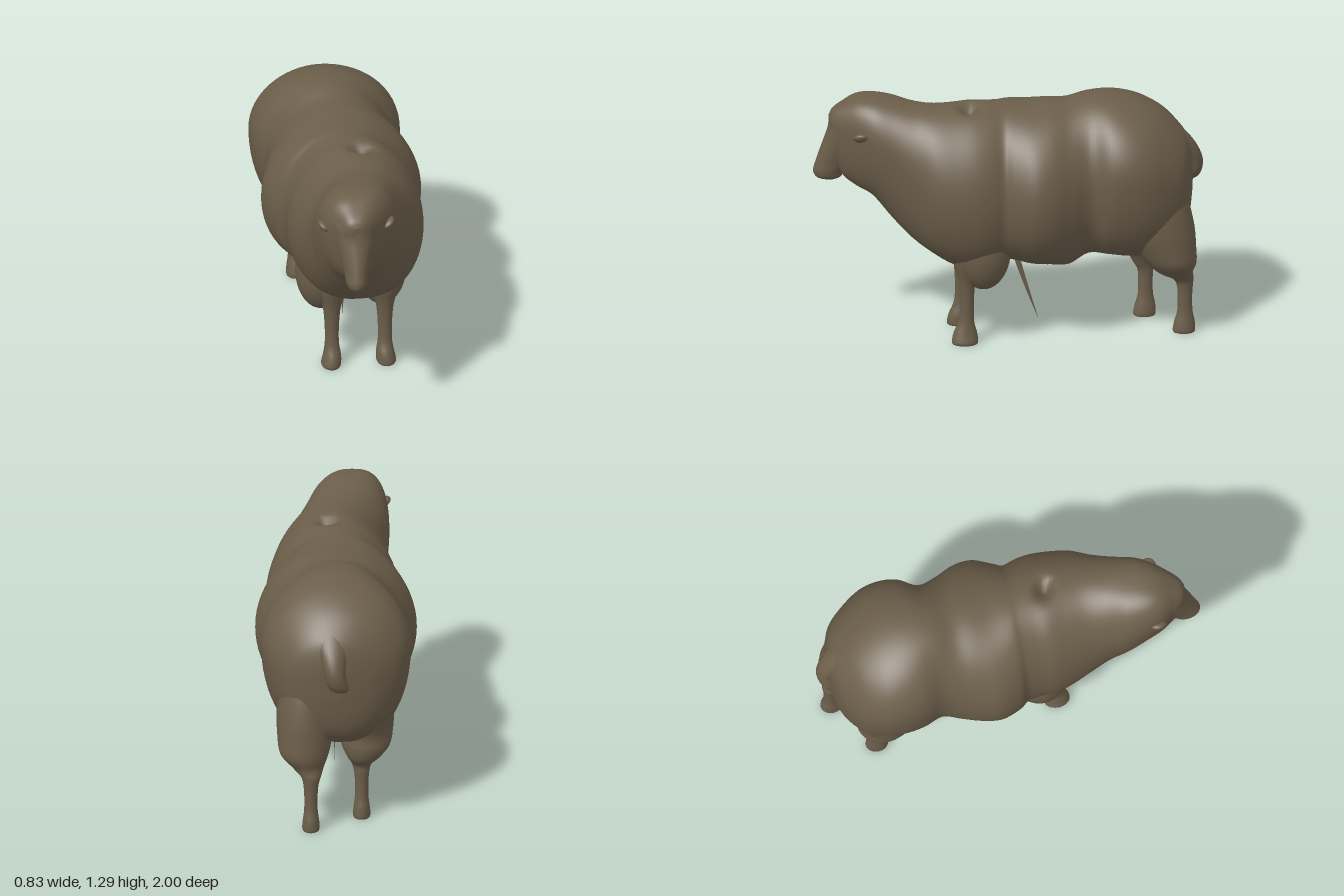
import * as THREE from 'three';

const wool = new THREE.MeshStandardMaterial({ color: 0x6b5e4a });
wool.name = 'brown wool';

// Catmull-Rom subdivision of rows of numbers
function refine(rows, steps) {
  const out = [];
  const at = (i) => rows[Math.min(Math.max(i, 0), rows.length - 1)];
  for (let i = 0; i < rows.length - 1; i++) {
    for (let s = 0; s < steps; s++) {
      const t = s / steps;
      out.push(at(i).map((b, k) => {
        const a = at(i - 1)[k], c = at(i + 1)[k], d = at(i + 2)[k];
        return b + 0.5 * t * (c - a + t * (2 * a - 5 * b + 4 * c - d + t * (3 * (b - c) + d - a)));
      }));
    }
  }
  out.push(rows[rows.length - 1]);
  return out;
}

// Skin a list of rings, closing both ends
function skin(rings) {
  const n = rings[0].length, pos = [], index = [];
  rings.forEach((ring) => ring.forEach((p) => pos.push(...p)));
  for (let i = 0; i < rings.length - 1; i++) {
    for (let j = 0; j < n; j++) {
      const a = i * n + j, b = i * n + (j + 1) % n;
      index.push(a, b, a + n, b, b + n, a + n);
    }
  }
  [0, rings.length - 1].forEach((r, end) => {
    const centre = pos.length / 3;
    pos.push(...[0, 1, 2].map((k) => rings[r].reduce((s, p) => s + p[k], 0) / n));
    for (let j = 0; j < n; j++) {
      const a = r * n + j, b = r * n + (j + 1) % n;
      index.push(centre, end ? a : b, end ? b : a);
    }
  });
  const g = new THREE.BufferGeometry();
  g.setAttribute('position', new THREE.Float32BufferAttribute(pos, 3));
  g.setIndex(index);
  g.computeVertexNormals();
  return g;
}

const around = (n, f) => Array.from({ length: n }, (_, j) => f(Math.PI * 2 * j / n));

// Limb from rows going down: [y, centre x, centre z, radius x, radius z]
function limb(rows) {
  return skin(refine(rows, 5).map(([y, cx, cz, rx, rz]) =>
    around(28, (a) => [cx + rx * Math.cos(a), y, cz + rz * Math.sin(a)])));
}

// Body from rows going forward: [z, top, bottom, min x, max x, height of widest point]
function bodyGeometry() {
  const rows = [
    [-0.94, 0.95, 0.74, -0.06, 0.06, 0.86],
    [-0.92, 1.03, 0.6, -0.15, 0.14, 0.85],
    [-0.88, 1.09, 0.51, -0.245, 0.225, 0.84],
    [-0.8, 1.17, 0.45, -0.34, 0.295, 0.86],
    [-0.7, 1.23, 0.42, -0.39, 0.35, 0.9],
    [-0.6, 1.265, 0.42, -0.4, 0.37, 0.91],
    [-0.5, 1.28, 0.43, -0.385, 0.36, 0.9],
    [-0.4, 1.275, 0.43, -0.345, 0.31, 0.87],
    [-0.3, 1.25, 0.38, -0.365, 0.35, 0.82],
    [-0.2, 1.25, 0.39, -0.4, 0.4, 0.8],
    [-0.1, 1.245, 0.4, -0.415, 0.41, 0.8],
    [0, 1.25, 0.42, -0.38, 0.365, 0.8],
    [0.05, 1.25, 0.4, -0.34, 0.34, 0.8],
    [0.12, 1.255, 0.38, -0.325, 0.36, 0.8],
    [0.2, 1.26, 0.38, -0.325, 0.37, 0.8],
    [0.3, 1.255, 0.41, -0.3, 0.36, 0.81],
    [0.4, 1.255, 0.47, -0.27, 0.33, 0.85],
    [0.5, 1.265, 0.54, -0.25, 0.26, 0.93],
    [0.6, 1.285, 0.64, -0.255, 0.2, 1.02],
    [0.7, 1.295, 0.76, -0.245, 0.155, 1.08],
    [0.78, 1.285, 0.805, -0.22, 0.1, 1.12],
    [0.85, 1.25, 0.86, -0.175, 0.04, 1.13],
    [0.9, 1.215, 0.96, -0.14, -0.01, 1.14],
    [0.92, 1.18, 1.08, -0.1, -0.05, 1.15],
  ];
  const g = skin(refine(rows, 5).map(([z, top, low, x0, x1, mid]) => around(64, (a) => {
    const c = Math.cos(a), s = Math.sin(a);
    // Squarer belly, and a squarer crown towards the head
    const crown = 1 - 0.3 * THREE.MathUtils.smoothstep(z, 0.4, 0.75);
    const belly = 0.7 + 0.12 * THREE.MathUtils.smoothstep(z, -0.6, -0.3);
    const x = Math.sign(c) * Math.abs(c) ** (s < 0 ? belly : crown);
    return [(x0 + x1) / 2 + x * (x1 - x0) / 2, mid + s * (s > 0 ? top - mid : mid - low), z];
  })));
  // Small pit in the wool of the back
  const p = g.attributes.position;
  for (let i = 0; i < p.count; i++) {
    if (p.getY(i) < 1) continue;
    const r = Math.hypot(p.getX(i) - 0.05, p.getZ(i) - 0.21);
    p.setY(i, p.getY(i) - 0.07 * Math.exp(-((r / 0.045) ** 2)));
  }
  g.computeVertexNormals();
  return g;
}

export function createModel() {
  const group = new THREE.Group();
  const add = (name, geometry) => {
    const m = new THREE.Mesh(geometry, wool);
    m.name = name;
    group.add(m);
    return m;
  };
  const blob = (name, place, size) => {
    const m = add(name, new THREE.SphereGeometry(1, 28, 20));
    m.position.set(...place);
    m.scale.set(...size);
    return m;
  };

  add('body', bodyGeometry());

  // Long face sloping down to the nose
  add('muzzle', limb([
    [1.23, -0.075, 0.78, 0.09, 0.08],
    [1.17, -0.075, 0.785, 0.115, 0.128],
    [1.1, -0.075, 0.79, 0.113, 0.14],
    [1.0, -0.08, 0.83, 0.085, 0.135],
    [0.93, -0.083, 0.885, 0.063, 0.103],
    [0.88, -0.085, 0.92, 0.055, 0.08],
    [0.845, -0.085, 0.92, 0.043, 0.065],
    [0.828, -0.085, 0.915, 0.015, 0.025],
  ]));

  // Small ears tucked against the head
  [['leftEar', 0.1, 0.765, 1], ['rightEar', -0.22, 0.75, -1]].forEach(([name, x, z, side]) => {
    blob(name, [x, 1.115, z], [0.042, 0.022, 0.045]).rotation.z = 0.6 * side;
  });

  // Front legs under broad woolly shoulders that hang below the chest
  [['leftFront', 0.17, 0.165], ['rightFront', -0.105, -0.15]].forEach(([name, x, sx]) => {
    const out = Math.sign(x) * 0.01;
    add(name + 'Leg', limb([
      [0.5, x, 0.2, 0.1, 0.11],
      [0.42, x, 0.215, 0.075, 0.08],
      [0.36, x, 0.23, 0.053, 0.05],
      [0.3, x, 0.232, 0.042, 0.04],
      [0.2, x, 0.232, 0.036, 0.036],
      [0.12, x, 0.235, 0.037, 0.04],
      [0.06, x, 0.24, 0.046, 0.06],
      [0.015, x + out / 2, 0.242, 0.051, 0.068],
      [0, x + out / 2, 0.242, 0.047, 0.064],
    ]));
    blob(name + 'Shoulder', [sx, 0.51, 0.145], [0.13, 0.215, 0.14]);
  });

  // Hind legs with heavy thighs, the left one standing further back:
  // foot x, foot z, thigh x, thigh z
  [
    ['leftHind', 0.105, -0.895, 0.14, -0.755],
    ['rightHind', -0.15, -0.715, -0.17, -0.67],
  ].forEach(([name, x, z, tx, tz]) => {
    const mz = (z + tz) / 2;
    add(name + 'Leg', limb([
      [0.9, tx, tz + 0.05, 0.1, 0.14],
      [0.75, tx, tz + 0.02, 0.13, 0.17],
      [0.6, tx, tz, 0.145, 0.185],
      [0.48, tx, mz + 0.03, 0.14, 0.155],
      [0.4, tx, mz, 0.125, 0.127],
      [0.34, (tx + x) / 2, mz - 0.02, 0.085, 0.09],
      [0.295, x, z + 0.01, 0.052, 0.055],
      [0.25, x, z, 0.039, 0.041],
      [0.18, x, z, 0.034, 0.037],
      [0.11, x, z, 0.035, 0.04],
      [0.06, x, z + 0.002, 0.041, 0.052],
      [0.015, x, z + 0.005, 0.045, 0.058],
      [0, x, z + 0.005, 0.042, 0.054],
    ]));
  });

  // Short tail growing out of the rump and curling to one side
  add('tail', limb([
    [1.12, 0, -0.79, 0.08, 0.06],
    [1.04, -0.002, -0.85, 0.085, 0.075],
    [0.97, -0.01, -0.9, 0.07, 0.073],
    [0.9, -0.018, -0.94, 0.055, 0.058],
    [0.84, -0.03, -0.945, 0.055, 0.05],
    [0.8, -0.045, -0.94, 0.045, 0.035],
    [0.785, -0.05, -0.935, 0.015, 0.012],
  ]));

  // Thin spike hanging from the belly
  add('bellySpike', limb([
    [0.46, 0.005, -0.02, 0.006, 0.018],
    [0.25, 0.006, -0.085, 0.004, 0.01],
    [0.065, 0.007, -0.148, 0.001, 0.001],
  ]));

  return group;
}
